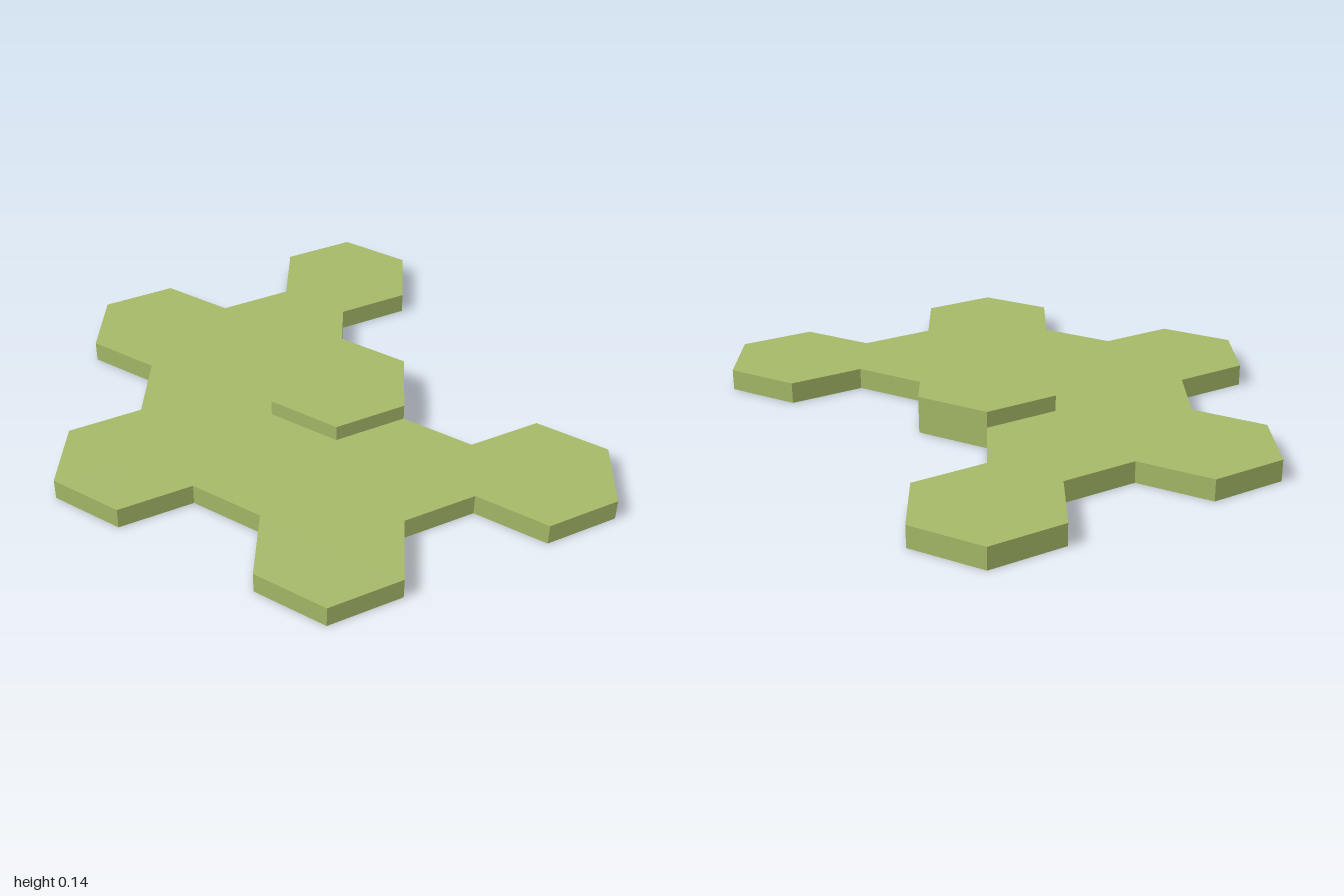
import * as THREE from 'three';

const RADIUS = 0.275;                            // centre to corner of a tile
const TURN = THREE.MathUtils.degToRad(5.5);      // slight turn of the whole grid
const STEP = RADIUS * Math.sqrt(3);              // spacing of neighbouring tiles
const ORIGIN = [0.167, 0];                       // centre of the raised tile
const LOW = 0.077, HIGH = 0.135;

// Hexagonal grid position from two axial steps
function tileCentre(a, b) {
  const t1 = TURN + Math.PI / 6, t2 = TURN + Math.PI / 2;
  return [
    ORIGIN[0] + STEP * (a * Math.cos(t1) + b * Math.cos(t2)),
    ORIGIN[1] + STEP * (a * Math.sin(t1) + b * Math.sin(t2)),
  ];
}

export function createModel() {
  const model = new THREE.Group();
  model.name = 'hexTileMap';
  const material = new THREE.MeshStandardMaterial({ color: 0xa4b868, flatShading: true });

  function addTile(name, a, b, height) {
    const geometry = new THREE.CylinderGeometry(RADIUS, RADIUS, height, 6, 1, false, Math.PI / 2 - TURN);
    const tile = new THREE.Mesh(geometry, material);
    const [x, z] = tileCentre(a, b);
    tile.position.set(x, height / 2, z);
    tile.name = name;
    model.add(tile);
  }

  // Raised tile
  addTile('raisedTile', 0, 0, HIGH);

  // Inner tiles touching the raised one
  addTile('backInnerTile', 0, -1, LOW);
  addTile('backRightInnerTile', -1, 0, LOW);
  addTile('frontRightInnerTile', -1, 1, LOW);
  addTile('frontInnerTile', 0, 1, LOW);

  // Outer tiles forming the arms
  addTile('backLeftArmTile', 1, -2, LOW);
  addTile('backRightArmTile', -1, -1, LOW);
  addTile('rightArmTile', -2, 1, LOW);
  addTile('frontRightArmTile', -1, 2, LOW);
  addTile('frontLeftArmTile', 1, 1, LOW);

  return model;
}
